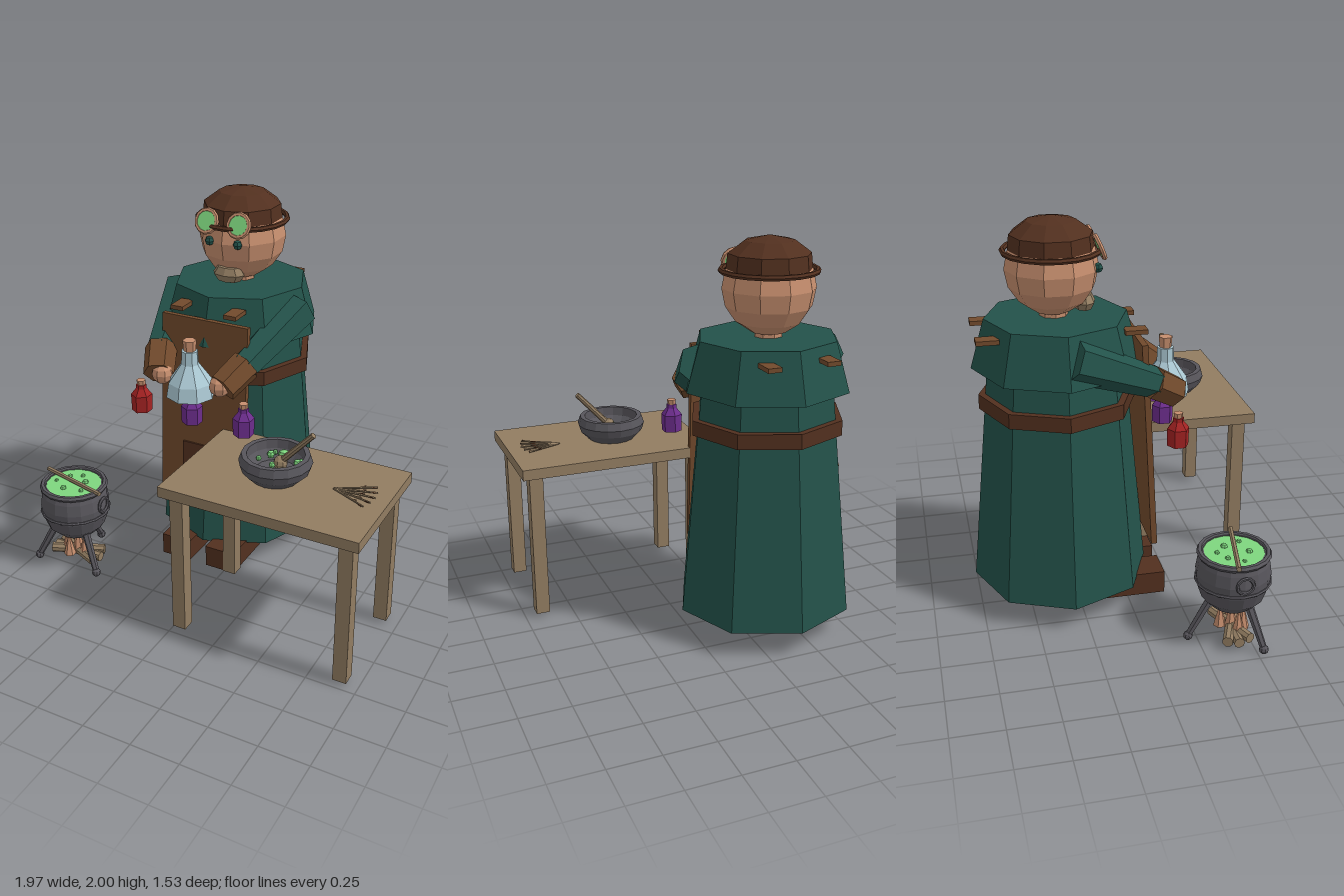
import * as THREE from 'three';

const mat = (name, color) => {
  const m = new THREE.MeshStandardMaterial({ color });
  m.name = name;
  return m;
};

export function createModel() {
  const robeGreen = mat('robe green', 0x23524a);
  const leather = mat('leather brown', 0x714a2c);
  const darkLeather = mat('dark leather', 0x52301f);
  const skin = mat('skin and copper', 0xc68e6e);
  const brewGreen = mat('brew green', 0x7ed67e);
  const wood = mat('wood', 0x917c61);
  const iron = mat('iron', 0x57555b);
  const redGlass = mat('red glass', 0xa32222);
  const purpleGlass = mat('purple glass', 0x6c2d8c);
  const paleGlass = mat('pale glass', 0xabc8d3);

  const root = new THREE.Group();
  root.name = 'alchemist workshop';
  const group = (name, x = 0, y = 0, z = 0, parent = root) => {
    const g = new THREE.Group();
    g.name = name;
    g.position.set(x, y, z);
    parent.add(g);
    return g;
  };

  // Every part is faceted: split the corners, then take face normals
  const add = (parent, name, geo, material, x = 0, y = 0, z = 0) => {
    const g = geo.index ? geo.toNonIndexed() : geo;
    g.computeVertexNormals();
    const m = new THREE.Mesh(g, material);
    m.name = name;
    m.position.set(x, y, z);
    parent.add(m);
    return m;
  };
  const box = (w, h, d) => new THREE.BoxGeometry(w, h, d);
  const ball = (r, w = 8, h = 6) => new THREE.SphereGeometry(r, w, h);
  const lathe = (pts, n) => new THREE.LatheGeometry(pts.map(p => new THREE.Vector2(...p)), n);
  const frustum = (parent, name, material, rTop, rBot, y0, y1, n, x = 0, z = 0) =>
    add(parent, name, new THREE.CylinderGeometry(rTop, rBot, y1 - y0, n), material, x, (y0 + y1) / 2, z);
  // Tapered rod between two points
  const rod = (parent, name, material, a, b, ra, rb = ra, n = 6) => {
    const A = new THREE.Vector3(...a), B = new THREE.Vector3(...b);
    const d = B.clone().sub(A);
    const m = add(parent, name, new THREE.CylinderGeometry(rb, ra, d.length(), n), material);
    m.position.copy(A).add(B).multiplyScalar(0.5);
    m.quaternion.setFromUnitVectors(new THREE.Vector3(0, 1, 0), d.normalize());
    return m;
  };

  // ---- Figure: robe, belt, shoulder cape, neck ----
  const fig = group('alchemist', -0.15, 0, 0);
  const zc = -0.32;
  frustum(fig, 'robe', robeGreen, 0.33, 0.45, 0.13, 1.4, 8, 0, zc);
  frustum(fig, 'belt', darkLeather, 0.39, 0.39, 1.055, 1.13, 8, 0, zc);
  frustum(fig, 'cape', robeGreen, 0.35, 0.42, 1.27, 1.515, 8, 0, zc);
  frustum(fig, 'neck', skin, 0.07, 0.07, 1.5, 1.6, 8, 0, -0.33);

  // Head, eyes and beard
  const head = group('head', 0, 1.75, -0.335, fig);
  add(head, 'face', ball(0.228, 10, 8), skin).rotation.y = Math.PI / 10;
  add(head, 'beard', ball(0.09, 8, 4), wood, 0, -0.173, 0.15).scale.set(1, 0.58, 0.65);

  // Cap with its rim
  add(head, 'cap', lathe([[0.208, 0.09], [0.2, 0.165], [0.12, 0.225], [0, 0.25]], 10), darkLeather);
  const rim = add(head, 'capRim', new THREE.TorusGeometry(0.232, 0.014, 6, 18), darkLeather, 0, 0.085, 0);
  rim.rotation.x = Math.PI / 2;

  for (const s of [-1, 1]) {
    add(head, 'eye', ball(0.025, 6, 4), robeGreen, s * 0.08, 0.005, 0.208);
    // Goggles pushed up onto the cap
    const goggle = group('goggle', s * 0.09, 0.108, 0.215, head);
    goggle.rotation.x = -0.38;
    add(goggle, 'goggleFrame', new THREE.TorusGeometry(0.057, 0.012, 6, 12), skin);
    const lens = add(goggle, 'lens', new THREE.CylinderGeometry(0.055, 0.055, 0.016, 12), brewGreen);
    lens.rotation.x = Math.PI / 2;

    // Sleeve, cuff and hand
    rod(fig, 'sleeve', robeGreen, [s * 0.34, 1.4, -0.3], [s * 0.24, 1.215, 0.12], 0.108, 0.075);
    rod(fig, 'cuff', darkLeather, [s * 0.245, 1.225, 0.1], [s * 0.185, 1.14, 0.23], 0.085, 0.08).material = leather;
    add(fig, 'hand', ball(0.056, 8, 6), skin, s * 0.165, 1.145, 0.225);

    // Legs, boots and apron straps
    frustum(fig, 'leg', iron, 0.09, 0.09, 0.07, 0.45, 8, s * 0.135, -0.31);
    add(fig, 'boot', box(0.17, 0.12, 0.355), darkLeather, s * 0.135, 0.08, 0.012);
    add(fig, 'frontStrap', box(0.07, 0.022, 0.11), leather, s * 0.15, 1.455, 0.04);
    add(fig, 'backStrap', box(0.07, 0.022, 0.11), leather, s * 0.15, 1.455, -0.67);
  }

  // Apron leaning with the robe, and its pocket
  const apron = group('apron', 0, 0.87, 0.095, fig);
  apron.rotation.x = -0.055;
  add(apron, 'apronPanel', box(0.49, 1.08, 0.03), leather);
  add(apron, 'pocket', box(0.225, 0.16, 0.02), darkLeather, 0, -0.23, 0.015);

  // Flask held in both hands
  const flask = group('flask', 0, 0, 0.23, fig);
  add(flask, 'flaskGlass', lathe([[0, 1.065], [0.125, 1.065], [0.112, 1.14], [0.045, 1.235], [0.042, 1.305], [0, 1.305]], 8), paleGlass);
  frustum(flask, 'flaskCork', skin, 0.035, 0.03, 1.3, 1.36, 6);

  // Small potions in front of the belt
  [[-0.45, redGlass], [-0.15, purpleGlass], [0.145, purpleGlass]].forEach(([x, glass]) => {
    const potion = group('potion', x, 0, 0.22);
    add(potion, 'potionBottle', lathe([[0, 0.905], [0.053, 0.905], [0.055, 0.995], [0.027, 1.03], [0.027, 1.05], [0, 1.05]], 6), glass);
    frustum(potion, 'potionCork', skin, 0.024, 0.02, 1.045, 1.075, 6);
  });

  // ---- Table ----
  const table = group('table', 0.478, 0, 0.425);
  add(table, 'tableTop', box(1.015, 0.055, 0.68), wood, 0, 0.812, 0);
  for (const sx of [-1, 1]) for (const sz of [-1, 1])
    add(table, 'tableLeg', box(0.07, 0.77, 0.07), wood, sx * 0.433, 0.405, sz * 0.265);

  // Mortar with pestle and crumbs
  const mortar = group('mortar', 0.42, 0.84, 0.42);
  add(mortar, 'bowl', lathe([[0, 0], [0.12, 0], [0.165, 0.045], [0.178, 0.085], [0.165, 0.125],
    [0.14, 0.125], [0.135, 0.08], [0.1, 0.035], [0, 0.03]], 16), iron);
  rod(mortar, 'pestle', wood, [0.01, 0.07, -0.01], [0.185, 0.26, -0.012], 0.017, 0.014, 8);
  add(mortar, 'pestleHead', ball(0.036, 8, 6), wood, 0.02, 0.075, -0.01);
  [[0, -0.09, 0.03], [-0.06, -0.07, 0.02], [0.09, -0.05, 0.02], [-0.095, -0.01, 0.014],
    [0.11, 0.03, 0.014], [-0.01, 0.02, 0.016], [-0.05, -0.1, 0.013], [0.1, -0.07, 0.014]]
    .forEach(([x, z, r]) => add(mortar, 'crushedHerb', ball(r, 6, 4), brewGreen, x, 0.07, z));

  // Dried herb bundle fanning out across the table
  const herbs = group('herbs', 0.715, 0.847, 0.405);
  for (let i = -2; i <= 2; i++) {
    const a = i * 0.24, c = Math.cos(a), s = Math.sin(a), len = 0.205;
    rod(herbs, 'herbStem', wood, [0, 0, 0], [len * c, 0.006, len * s], 0.006, 0.004, 5);
    for (const t of [0.6, 0.85]) {
      const side = t > 0.7 ? 0.35 : -0.35;
      rod(herbs, 'herbTwig', darkLeather, [t * len * c, 0.004, t * len * s],
        [t * len * c + 0.03 * Math.cos(a + side), 0.008, t * len * s + 0.03 * Math.sin(a + side)], 0.004, 0.002, 4);
    }
  }

  // ---- Cauldron ----
  const pot = group('cauldron', -0.777, 0, 0.42);
  add(pot, 'cauldronBody', lathe([[0, 0.175], [0.1, 0.185], [0.155, 0.24], [0.179, 0.31], [0.184, 0.37],
    [0.175, 0.43], [0.16, 0.475], [0.148, 0.475], [0.148, 0.44], [0, 0.44]], 16), iron);
  const ring = (name, r, tube, y) => {
    add(pot, name, new THREE.TorusGeometry(r, tube, 6, 18), iron, 0, y, 0).rotation.x = Math.PI / 2;
  };
  ring('cauldronRim', 0.166, 0.016, 0.47);
  ring('cauldronBand', 0.18, 0.009, 0.325);
  frustum(pot, 'brew', brewGreen, 0.16, 0.155, 0.445, 0.472, 16);
  [[-0.06, -0.05, 0.014], [0.05, -0.035, 0.018], [0.08, 0.05, 0.013], [-0.02, 0.07, 0.017], [0, -0.085, 0.013], [-0.1, 0.02, 0.011]]
    .forEach(([x, z, r]) => add(pot, 'bubble', ball(r, 6, 4), brewGreen, x, 0.474, z));
  rod(pot, 'stirringStick', wood, [-0.195, 0.492, -0.04], [0.195, 0.482, 0.045], 0.013, 0.013);
  for (const s of [-1, 1])
    add(pot, 'ringHandle', new THREE.TorusGeometry(0.04, 0.009, 6, 12), iron, s * 0.186, 0.39, 0).rotation.y = Math.PI / 2;
  for (let i = 0; i < 3; i++) {
    const a = Math.PI + i * Math.PI * 2 / 3, x = Math.sin(a), z = Math.cos(a);
    rod(pot, 'cauldronLeg', iron, [x * 0.11, 0.22, z * 0.11], [x * 0.215, 0.03, z * 0.215], 0.022, 0.017);
    add(pot, 'cauldronFoot', ball(0.024, 8, 6), iron, x * 0.217, 0.024, z * 0.217);
  }

  // Logs and flames beneath the cauldron
  [0, 0.4, -0.4].forEach((a, i) => {
    const x = 0.145 * Math.cos(a), z = 0.145 * Math.sin(a), y = 0.045 + i * 0.006;
    rod(pot, 'log', wood, [-x, y, -z], [x, y, z], 0.027, 0.027, 8);
  });
  [[0, 0, 0.17], [-0.055, 0.02, 0.14], [0.055, 0.015, 0.14], [0.02, -0.05, 0.13], [-0.02, 0.055, 0.13]]
    .forEach(([x, z, h]) => add(pot, 'flame', new THREE.ConeGeometry(0.033, h, 6), skin, x, 0.05 + h / 2, z));

  return root;
}
